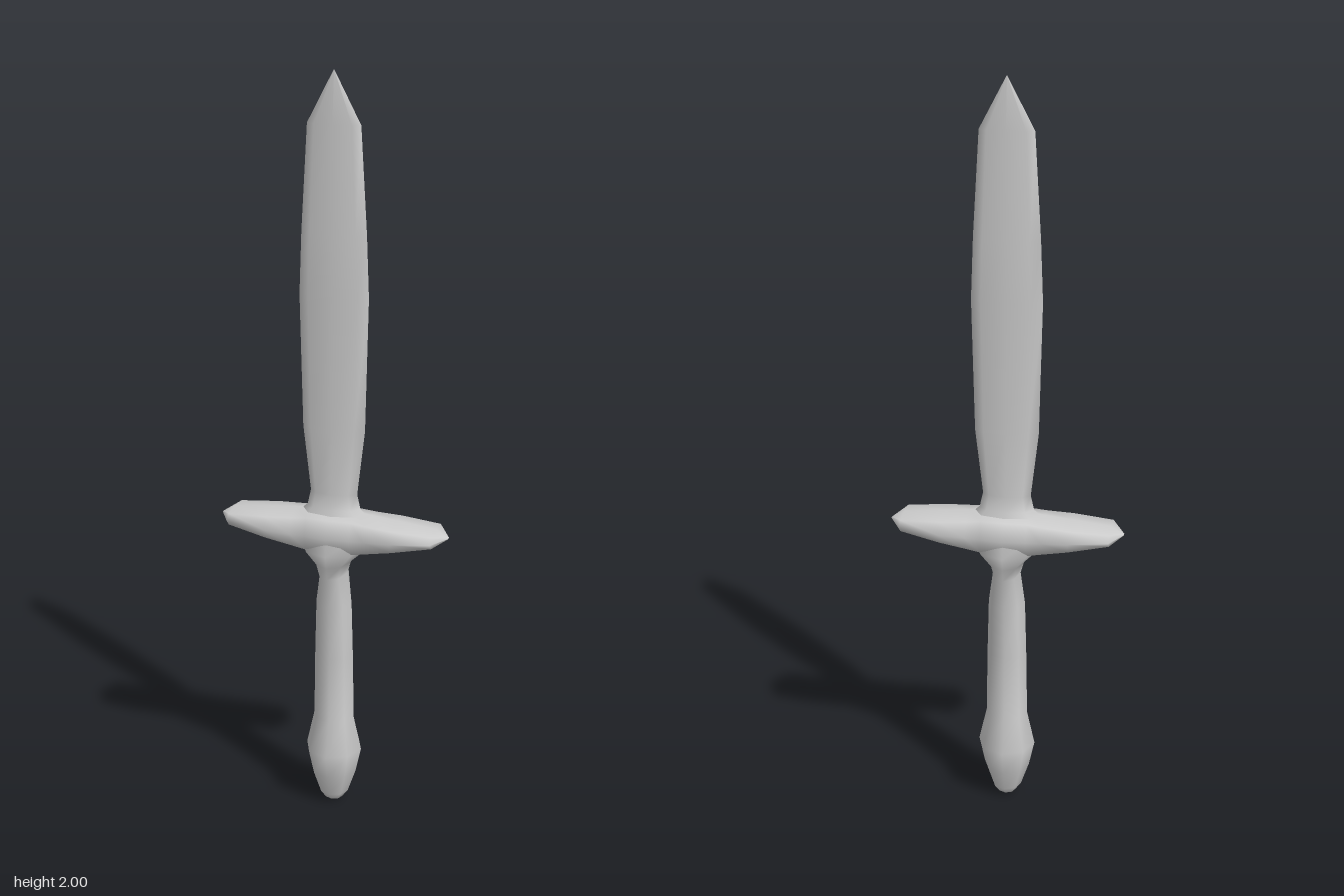
import * as THREE from 'three';

const material = new THREE.MeshStandardMaterial({ color: 0xcccccc });
const SIDES = 8;

// Smooth skin along y through rings of [y, half width x, half depth z, x offset].
// A power below 1 makes the rings boxier.
function loft(name, rings, power = 1) {
  const bend = v => Math.sign(v) * Math.abs(v) ** power;
  const positions = [], index = [];
  rings.forEach(([y, a, b, offset = 0], i) => {
    for (let j = 0; j < SIDES; j++) {
      const t = (j / SIDES) * Math.PI * 2;
      positions.push(offset + a * bend(Math.cos(t)), y, b * bend(Math.sin(t)));
      if (i === rings.length - 1) continue;
      const k = i * SIDES + j, n = i * SIDES + (j + 1) % SIDES;
      index.push(k, k + SIDES, n, n, k + SIDES, n + SIDES);
    }
  });
  const geometry = new THREE.BufferGeometry();
  geometry.setAttribute('position', new THREE.Float32BufferAttribute(positions, 3));
  geometry.setIndex(index);
  geometry.computeVertexNormals();
  const mesh = new THREE.Mesh(geometry, material);
  mesh.name = name;
  return mesh;
}

export function createModel() {
  const group = new THREE.Group();
  group.name = 'dagger';

  // Leaf-shaped blade with a flared root
  const blade = loft('blade', [
    [0.8, 0.13, 0.065], [0.85, 0.1, 0.045], [0.875, 0.072, 0.034], [0.915, 0.063, 0.025],
    [1.09, 0.083, 0.021], [1.44, 0.091, 0.02], [1.6, 0.085, 0.019],
    [1.87, 0.069, 0.014], [2, 0.0008, 0.0005],
  ]);

  // Grip, waisted below the guard, ending in a pointed pommel
  const grip = loft('gripAndPommel', [
    [0.004, 0.001, 0.001], [0.014, 0.025, 0.025], [0.035, 0.04, 0.04], [0.1, 0.062, 0.062],
    [0.17, 0.077, 0.077], [0.265, 0.056, 0.048], [0.45, 0.053, 0.043],
    [0.6, 0.049, 0.047], [0.69, 0.037, 0.062], [0.725, 0.047, 0.07],
    [0.76, 0.085, 0.077], [0.82, 0.12, 0.065],
  ]);

  // Crossguard: one arm's rings, mirrored for the other
  const arm = [
    [0, 0.06, 0.077, -0.81], [0.06, 0.058, 0.069, -0.81], [0.1, 0.05, 0.071, -0.812],
    [0.17, 0.038, 0.076, -0.817], [0.275, 0.02, 0.065, -0.824], [0.309, 0.001, 0.004, -0.823],
  ];
  const mirrored = arm.slice(1).reverse().map(([x, ...rest]) => [-x, ...rest]);
  const guard = loft('crossguard', [...mirrored, ...arm], 0.75);
  guard.geometry.rotateZ(-Math.PI / 2);

  group.add(blade, grip, guard);
  return group;
}
